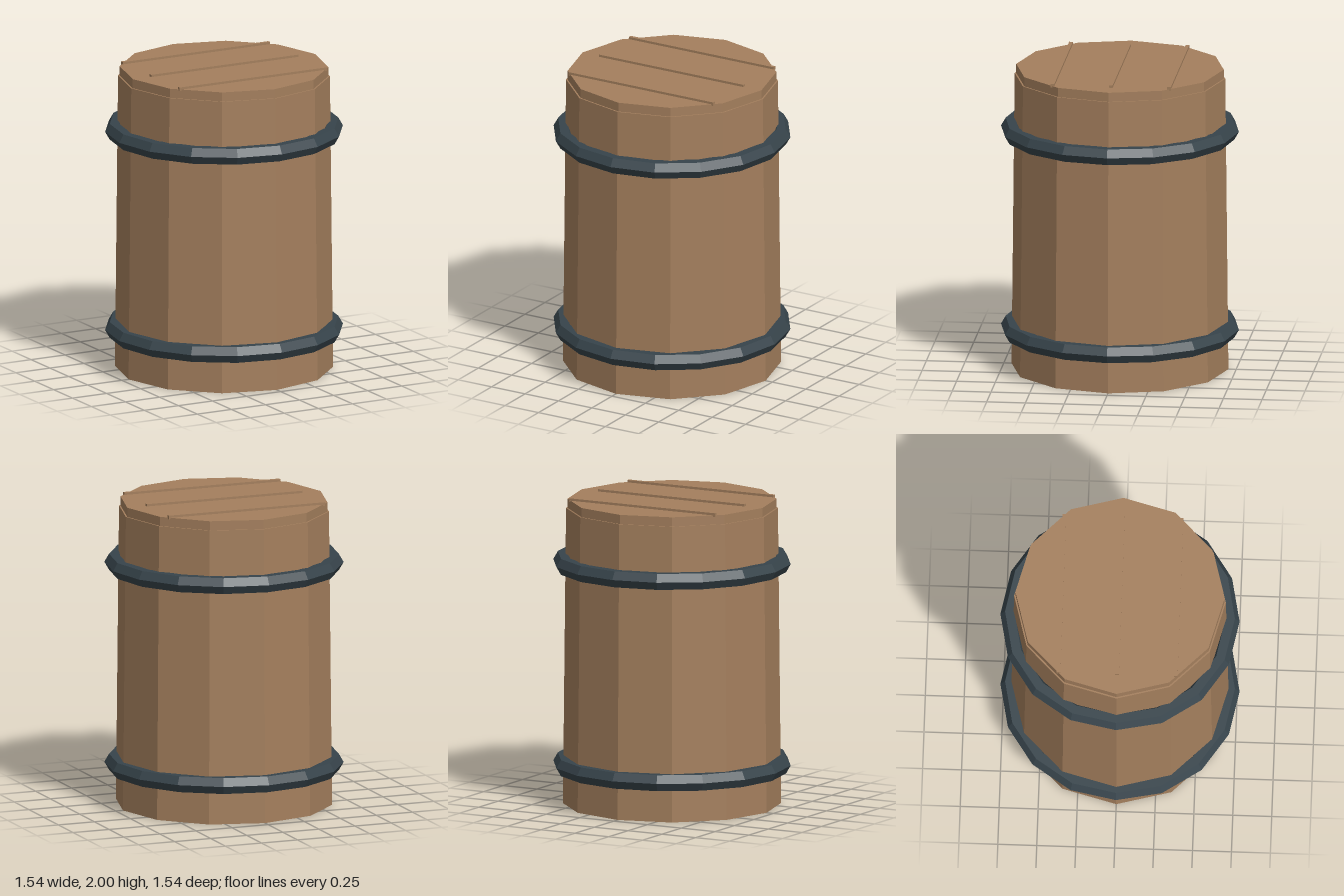
import * as THREE from 'three';

export function createModel() {
  const group = new THREE.Group();
  const wood = new THREE.MeshStandardMaterial({ color: 0xa47f5d, flatShading: true });
  wood.name = 'wood';
  const iron = new THREE.MeshStandardMaterial({ color: 0x37444b, flatShading: true });
  iron.name = 'dark iron';

  const add = (name, geometry, material, x, y, z) => {
    const mesh = new THREE.Mesh(geometry, material);
    mesh.name = name;
    mesh.position.set(x, y, z);
    group.add(mesh);
    return mesh;
  };

  // Twelve-sided body, slightly narrower at the top
  add('body', new THREE.CylinderGeometry(0.68, 0.7, 1.925, 12), wood, 0, 0.9625, 0);

  // Lid, stepped in a little from the body
  add('lid', new THREE.CylinderGeometry(0.67, 0.67, 0.06, 12), wood, 0, 1.955, 0);

  // Thin battens across the lid
  for (const z of [-0.376, 0, 0.376]) {
    add('lidBatten', new THREE.BoxGeometry(1.08, 0.024, 0.024), wood, 0, 1.988, z);
  }

  // Hoops with a six-sided section
  for (const [name, y] of [['lowerHoop', 0.262], ['upperHoop', 1.575]]) {
    const hoop = add(name, new THREE.TorusGeometry(0.708, 0.06, 6, 16), iron, 0, y, 0);
    hoop.rotation.x = Math.PI / 2;
  }

  return group;
}
